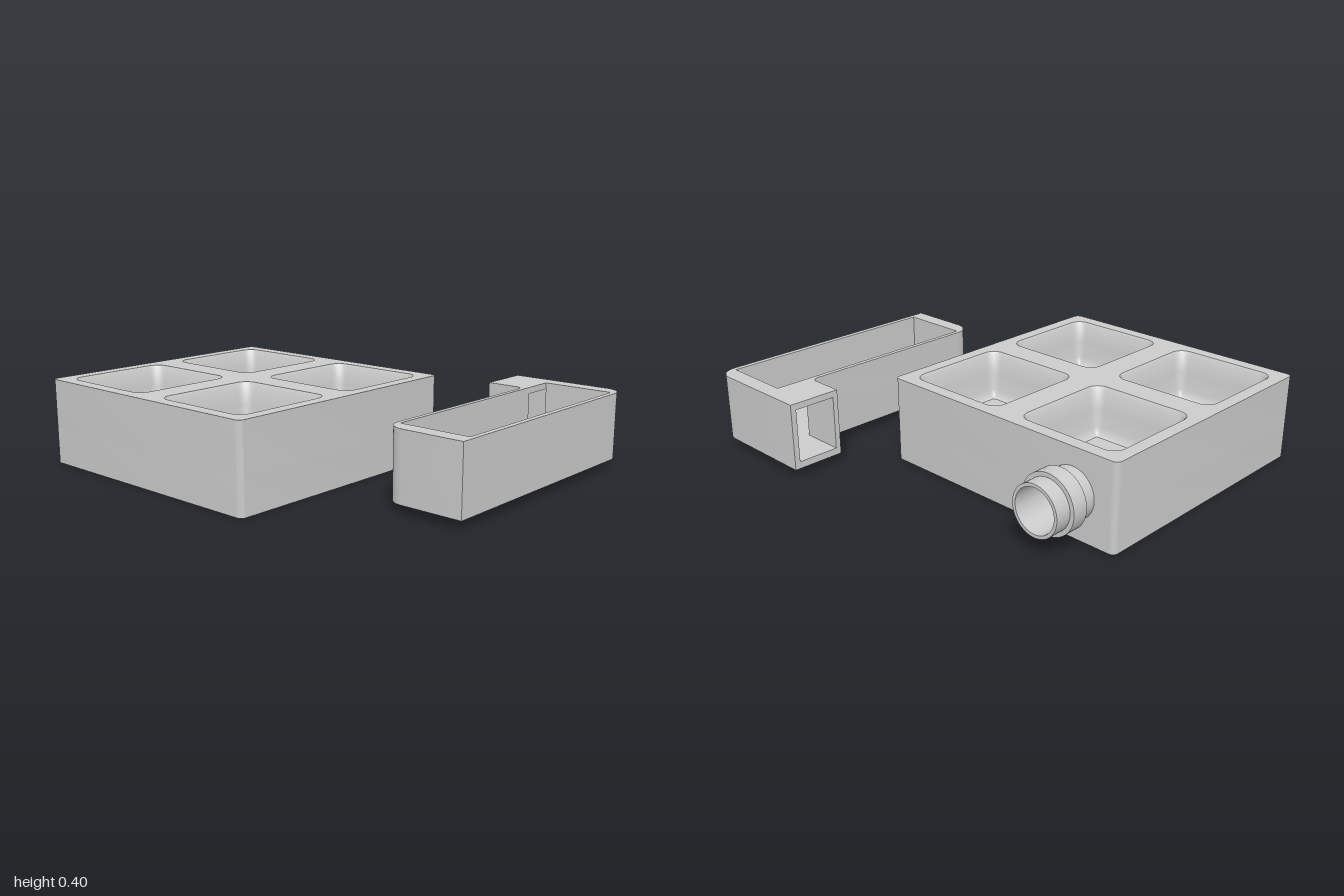
import * as THREE from 'three';
import { toCreasedNormals } from 'three/addons/utils/BufferGeometryUtils.js';

const material = new THREE.MeshStandardMaterial({ color: 0xcccccc, side: THREE.DoubleSide });

function add(parent, name, geometry) {
  const mesh = new THREE.Mesh(toCreasedNormals(geometry, 0.6), material);
  mesh.name = name;
  parent.add(mesh);
  return mesh;
}

// Plan outline in (x, z): each corner is [x, z, radius]
function outline(corners, Type = THREE.Shape) {
  const path = new Type();
  const n = corners.length;
  corners.forEach(([x, z, r = 0], i) => {
    const p = new THREE.Vector2(x, z);
    const toward = ([a, b]) => new THREE.Vector2(a, b).sub(p).normalize().multiplyScalar(r).add(p);
    const a = toward(corners[(i + n - 1) % n]);
    const b = toward(corners[(i + 1) % n]);
    if (i === 0) path.moveTo(a.x, a.y);
    else path.lineTo(a.x, a.y);
    if (r) {
      const k = 0.552;
      path.bezierCurveTo(a.x + (x - a.x) * k, a.y + (z - a.y) * k,
        b.x + (x - b.x) * k, b.y + (z - b.y) * k, b.x, b.y);
    }
  });
  path.closePath();
  return path;
}

const rect = (x0, x1, z0, z1, r = 0) => [[x0, z0, r], [x1, z0, r], [x1, z1, r], [x0, z1, r]];

// Plan shape raised from y0 to y1
function slab(shape, y0, y1) {
  return new THREE.ExtrudeGeometry(shape, { depth: y1 - y0, bevelEnabled: false, curveSegments: 8 })
    .rotateX(Math.PI / 2).translate(0, y1, 0);
}

// Tapered cup lofted through rounded squares: rings are [half size, radius, y]
function cup(rings) {
  const positions = [], index = [];
  let n = 0;
  for (const [h, r, y] of rings) {
    const points = outline(rect(-h, h, -h, h, r)).getPoints(8).slice(0, -1);
    n = points.length;
    points.forEach((p) => positions.push(p.x, y, p.y));
  }
  for (let k = 0; k < rings.length - 1; k++) {
    for (let i = 0; i < n; i++) {
      const a = k * n + i, b = k * n + (i + 1) % n;
      index.push(a, b, b + n, a, b + n, a + n);
    }
  }
  // Floor
  const last = (rings.length - 1) * n, centre = positions.length / 3;
  positions.push(0, rings[rings.length - 1][2], 0);
  for (let i = 0; i < n; i++) index.push(last + i, last + (i + 1) % n, centre);
  const geometry = new THREE.BufferGeometry();
  geometry.setAttribute('position', new THREE.Float32BufferAttribute(positions, 3));
  geometry.setIndex(index);
  return geometry;
}

function createTray() {
  const tray = new THREE.Group();
  tray.name = 'tray';
  const plan = rect(-0.867, 0.402, -1, 0.27, 0.025);
  add(tray, 'trayBase', slab(outline(plan), 0, 0.17));

  // Upper walls with four pockets
  const walls = outline(plan);
  const half = 0.255;
  for (const x of [-0.55, 0.085]) {
    for (const z of [-0.685, -0.045]) {
      walls.holes.push(outline(rect(x - half, x + half, z - half, z + half, 0.06), THREE.Path));
      add(tray, 'pocket', cup([
        [half, 0.06, 0.4], [half - 0.009, 0.055, 0.388], [half - 0.025, 0.045, 0.3],
        [half - 0.036, 0.035, 0.22], [half - 0.045, 0.02, 0.197], [half - 0.06, 0.012, 0.18],
      ])).position.set(x, 0, z);
    }
  }
  add(tray, 'trayWalls', slab(walls, 0.17, 0.4));

  // Hollow collared spout on the left side
  const profile = [
    [0.115, 0], [0.115, 0.07], [0.135, 0.07], [0.135, 0.145], [0.115, 0.145],
    [0.115, 0.22], [0.1, 0.22], [0.1, 0.004], [0, 0.004],
  ].map(([r, y]) => new THREE.Vector2(r, y));
  add(tray, 'spout', new THREE.LatheGeometry(profile, 48).rotateZ(-Math.PI / 2))
    .position.set(0.4, 0.2, -0.78);
  return tray;
}

function createTrough() {
  const trough = new THREE.Group();
  trough.name = 'trough';
  const plan = [
    [-0.407, 0.615, 0.09], [0.61, 0.615, 0.03], [0.61, 0.43], [0.862, 0.43],
    [0.862, 1, 0.085], [-0.407, 1],
  ];
  add(trough, 'troughFloor', slab(outline(plan), 0.042, 0.075));

  // Walls, open at the back through the neck
  add(trough, 'troughWalls', slab(outline([
    ...plan.slice(0, 3), [0.635, 0.43], [0.635, 0.637], [-0.33, 0.637], [-0.33, 0.975],
    [0.785, 0.975], [0.785, 0.637], [0.835, 0.637], [0.835, 0.43], ...plan.slice(3),
  ]), 0.075, 0.325));

  // Rim, with a roof over the neck
  const rim = outline(plan);
  rim.holes.push(outline(rect(-0.33, 0.785, 0.637, 0.975), THREE.Path));
  add(trough, 'troughRim', slab(rim, 0.325, 0.355));
  return trough;
}

export function createModel() {
  const model = new THREE.Group();
  model.name = 'trayAndTrough';
  model.add(createTray(), createTrough());
  return model;
}
